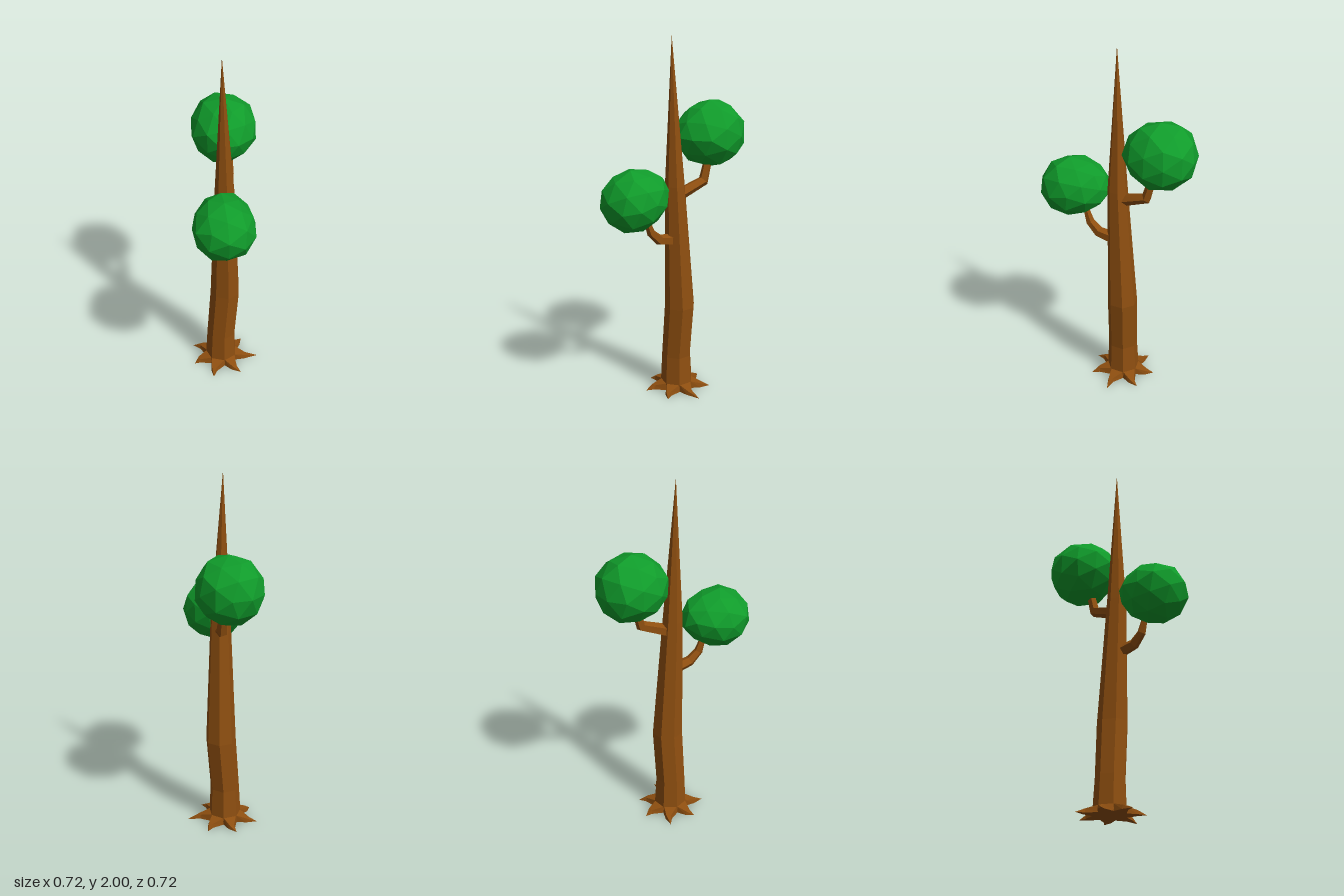
import * as THREE from 'three';

const V = (x, y, z) => new THREE.Vector3(x, y, z);
const bark = new THREE.MeshStandardMaterial({ color: 0x8f4f10, flatShading: true });
const leaf = new THREE.MeshStandardMaterial({ color: 0x109c2b, flatShading: true });
const SIDES = 7;
const STEP = (Math.PI * 2) / SIDES;
const ROOT_ANGLE = THREE.MathUtils.degToRad(47);

// Skins a list of equal-length rings and caps both ends
function loft(rings) {
  const pos = [];
  const tri = (...pts) => pts.forEach((p) => pos.push(p.x, p.y, p.z));
  const n = rings[0].length;
  for (let k = 0; k < rings.length - 1; k++) {
    const lo = rings[k], hi = rings[k + 1];
    for (let i = 0; i < n; i++) {
      const j = (i + 1) % n;
      if (hi[i].distanceTo(hi[j]) < 1e-6) {
        tri(lo[i], hi[i], lo[j]);
      } else {
        tri(lo[i], hi[i], lo[j]);
        tri(lo[j], hi[i], hi[j]);
      }
    }
  }
  const first = rings[0], last = rings[rings.length - 1];
  for (let i = 1; i < n - 1; i++) {
    tri(first[0], first[i], first[i + 1]);
    if (last[0].distanceTo(last[1]) > 1e-6) tri(last[0], last[i + 1], last[i]);
  }
  const g = new THREE.BufferGeometry();
  g.setAttribute('position', new THREE.Float32BufferAttribute(pos, 3));
  g.computeVertexNormals();
  return g;
}

function add(parent, name, geometry, material) {
  const m = new THREE.Mesh(geometry, material);
  m.name = name;
  parent.add(m);
  return m;
}

// Point around the foot of the trunk
const BASE = V(0.015, 0, -0.03);
const polar = (angle, r, y) => V(BASE.x + r * Math.cos(angle), y, BASE.z + r * Math.sin(angle));

function makeTrunk() {
  // x, y, z, radius
  const sections = [
    [0.015, 0, -0.03, 0.092], [0.015, 0.04, -0.03, 0.09], [0.014, 0.2, -0.028, 0.082],
    [0.034, 0.5, -0.016, 0.084], [0.009, 1.2, 0.003, 0.055], [-0.01, 2, 0, 0],
  ];
  return loft(sections.map(([x, y, z, r]) => Array.from({ length: SIDES }, (_, i) => {
    const a = ROOT_ANGLE + (i + 0.5) * STEP;
    return V(x + r * Math.cos(a), y, z + r * Math.sin(a));
  })));
}

// A bent spike growing from one face of the trunk
function makeRoot(angle, length) {
  const h = STEP / 2, bend = angle + 0.08;
  const tip = polar(angle, length, 0);
  return loft([
    [polar(angle + h, 0.086, 0.04), polar(angle - h, 0.086, 0.04),
      polar(angle - h, 0.092, 0), polar(angle + h, 0.092, 0)],
    [polar(bend + 0.09, 0.14, 0.022), polar(bend - 0.09, 0.14, 0.022),
      polar(bend - 0.13, 0.14, 0), polar(bend + 0.13, 0.14, 0)],
    [tip, tip, tip, tip],
  ]);
}

// Tapered limb along a path that lies in one vertical plane
function makeBranch(path, radii, sides = 5) {
  const span = path[path.length - 1].clone().sub(path[0]);
  const u = V(-span.z, 0, span.x).normalize();
  return loft(path.map((p, k) => {
    const d = path[Math.min(k + 1, path.length - 1)].clone()
      .sub(path[Math.max(k - 1, 0)]).normalize();
    const v = u.clone().cross(d).normalize();
    return Array.from({ length: sides }, (_, i) => {
      const a = (i / sides) * Math.PI * 2;
      return p.clone().addScaledVector(u, radii[k] * Math.cos(a))
        .addScaledVector(v, radii[k] * Math.sin(a));
    });
  }));
}

// Faceted egg, long axis on local x, slimmer towards -x, lightly lumpy
function makeCrown(sx, sy, sz, taper, phase) {
  const g = new THREE.IcosahedronGeometry(1, 1);
  g.rotateY(phase);
  const p = g.attributes.position;
  for (let i = 0; i < p.count; i++) {
    const x = p.getX(i), y = p.getY(i), z = p.getZ(i);
    const lump = 1 + 0.035 * Math.sin(5 * x + 3 * y + phase) * Math.cos(4 * z - 2 * y);
    const w = 1 + taper * x;
    p.setXYZ(i, x * sx * lump, y * sy * lump * w, z * sz * lump * w);
  }
  g.computeVertexNormals();
  return g;
}

export function createModel() {
  const tree = new THREE.Group();
  tree.name = 'tree';

  add(tree, 'trunk', makeTrunk(), bark);

  const roots = new THREE.Group();
  roots.name = 'roots';
  tree.add(roots);
  [0.212, 0.185, 0.19, 0.172, 0.19, 0.18, 0.185].forEach((length, i) => {
    add(roots, 'root' + (i + 1), makeRoot(ROOT_ANGLE + i * STEP, length), bark);
  });

  add(tree, 'upperBranch', makeBranch(
    [V(0.02, 1.14, -0.01), V(0.15, 1.2, -0.105), V(0.175, 1.33, -0.13)],
    [0.036, 0.03, 0.022]), bark);
  add(tree, 'lowerBranch', makeBranch(
    [V(-0.01, 0.9, 0.03), V(-0.065, 0.915, 0.085), V(-0.105, 0.965, 0.12), V(-0.135, 1.08, 0.145)],
    [0.034, 0.03, 0.024, 0.012]), bark);

  const upper = add(tree, 'upperCrown', makeCrown(0.2, 0.183, 0.182, 0.06, 0.4), leaf);
  upper.position.set(0.176, 1.45, -0.165);
  upper.rotation.y = 0.83;

  const lower = add(tree, 'lowerCrown', makeCrown(0.195, 0.165, 0.168, 0.13, 1.1), leaf);
  lower.position.set(-0.178, 1.165, 0.172);
  lower.rotation.set(0, 0.83 + Math.PI, -0.2);

  return tree;
}
